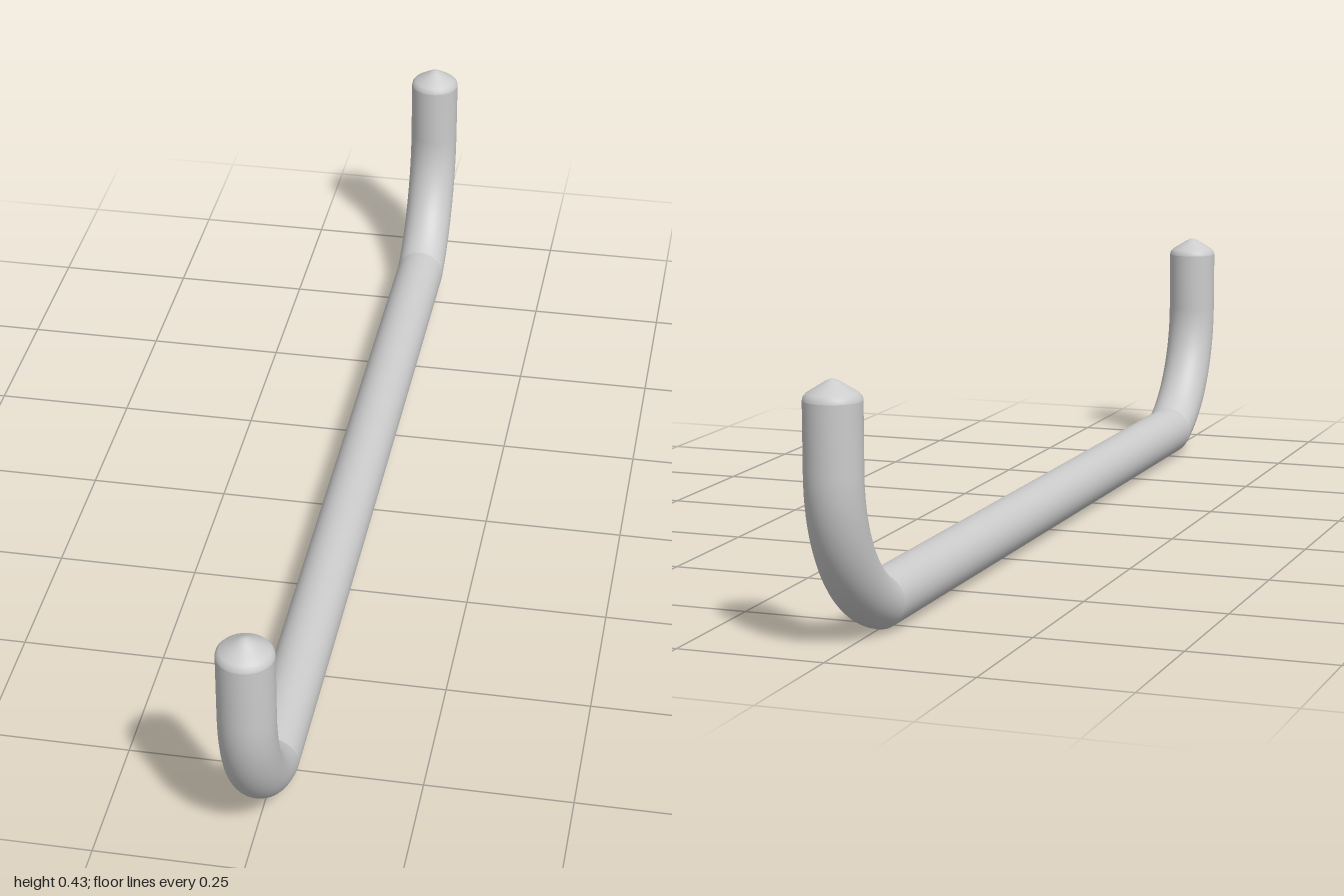
import * as THREE from 'three';

const R = 0.047;       // rod radius
const HALF = 0.785;    // half length of the straight bar
const SIDES = 40;

// Smooth bent rod through rings lying in the YZ plane: {y, z, tilt}
function sweep(rings) {
  const pos = [], index = [];
  rings.forEach(({ y, z, tilt }, i) => {
    for (let j = 0; j < SIDES; j++) {
      const a = (j / SIDES) * Math.PI * 2, n = R * Math.sin(a);
      pos.push(R * Math.cos(a), y + n * Math.cos(tilt), z - n * Math.sin(tilt));
      if (i === rings.length - 1) continue;
      const k = i * SIDES + j, l = i * SIDES + (j + 1) % SIDES;
      index.push(k, l, k + SIDES, l, l + SIDES, k + SIDES);
    }
  });
  const geo = new THREE.BufferGeometry();
  geo.setAttribute('position', new THREE.Float32BufferAttribute(pos, 3));
  geo.setIndex(index);
  geo.computeVertexNormals();
  return geo;
}

export function createModel() {
  const group = new THREE.Group();
  const mat = new THREE.MeshStandardMaterial({ color: 0xcccccc });
  const add = (parent, name, geo) => {
    const mesh = new THREE.Mesh(geo, mat);
    mesh.name = name;
    parent.add(mesh);
    return mesh;
  };

  // Straight bar along z
  const bar = add(group, 'bar', new THREE.CylinderGeometry(R, R, HALF * 2, SIDES, 1, true));
  bar.rotation.x = Math.PI / 2;
  bar.position.y = R;

  // Bend: leaves the bar at a slight angle, then arcs to vertical and rises
  const start = THREE.MathUtils.degToRad(20);
  const bendR = (1 - R - HALF) / (1 - Math.sin(start));
  const centreY = R + bendR * Math.cos(start);
  const rings = [];
  for (let i = 0; i <= 20; i++) {
    const t = i / 20;
    const angle = THREE.MathUtils.lerp(start, Math.PI / 2, t);
    rings.push({
      y: centreY - bendR * Math.cos(angle),
      z: 1 - R - bendR * (1 - Math.sin(angle)),
      tilt: angle - start * Math.max(0, 1 - t * 2), // first ring matches the bar's end
    });
  }
  rings.push({ y: 0.4, z: 1 - R, tilt: Math.PI / 2 });
  const bendGeo = sweep(rings);

  // Blunt, rounded-shoulder tip
  const tipGeo = new THREE.LatheGeometry([
    [R, 0.4], [0.0455, 0.406], [0.041, 0.411], [0.03, 0.418],
    [0.012, 0.429], [0.006, 0.432], [0, 0.433],
  ].map(([x, y]) => new THREE.Vector2(x, y)), SIDES);

  // Matching hooked ends
  ['frontEnd', 'backEnd'].forEach((name, i) => {
    const end = new THREE.Group();
    end.name = name;
    add(end, 'bend', bendGeo);
    add(end, 'tip', tipGeo).position.z = 1 - R;
    end.rotation.y = i * Math.PI;
    group.add(end);
  });

  return group;
}
